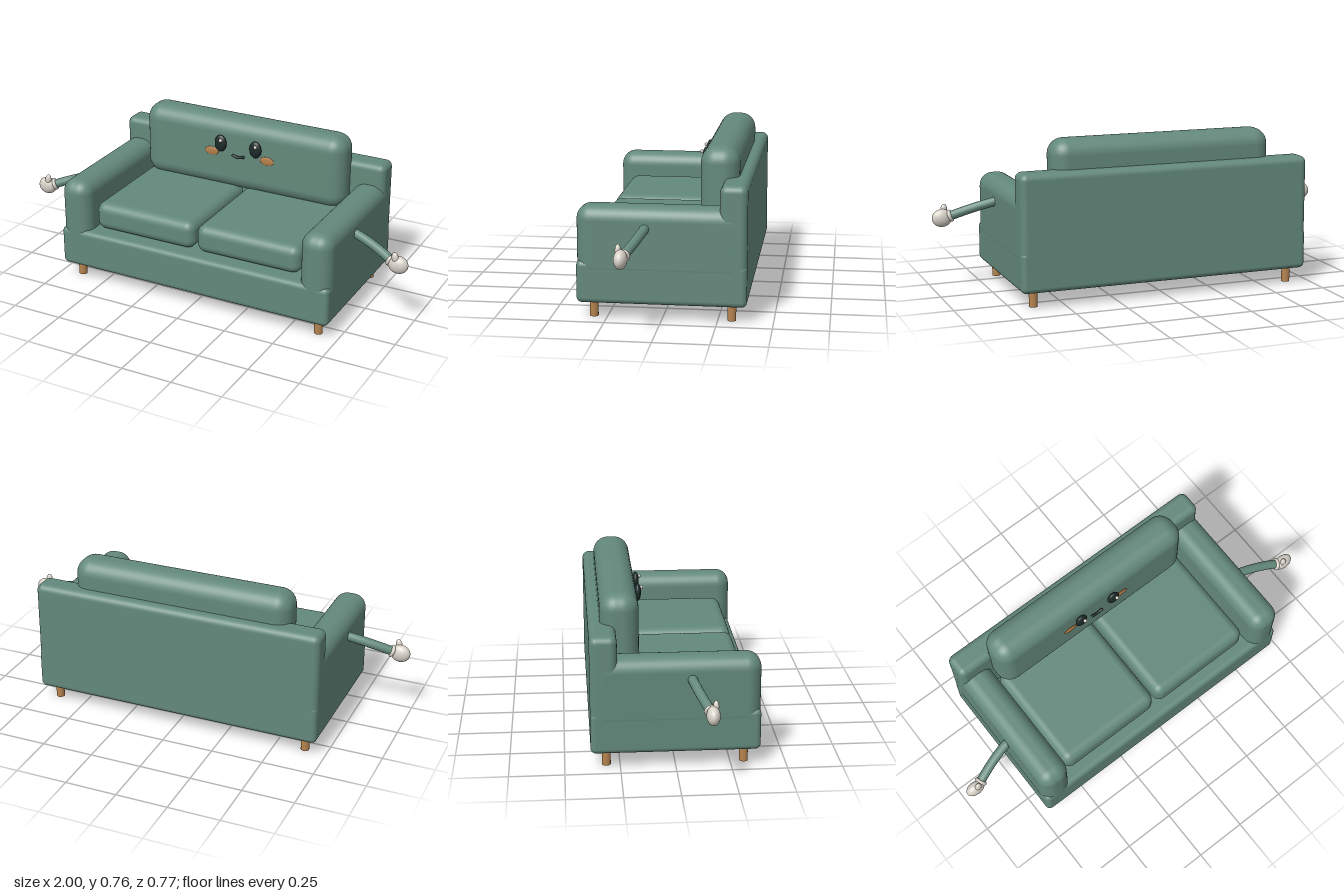
import * as THREE from 'three';
import { RoundedBoxGeometry } from 'three/addons/geometries/RoundedBoxGeometry.js';

const mat = (name, color) => {
  const m = new THREE.MeshStandardMaterial({ color });
  m.name = name;
  return m;
};

export function createModel() {
  const fabric = mat('green fabric', 0x64897c);
  const wood = mat('wood', 0xb5834f);
  const blushTan = mat('blush tan', 0xb5804a);
  const dark = mat('dark eye', 0x1d2a2a);
  const white = mat('glove white', 0xd8d2c8);
  const model = new THREE.Group();
  model.name = 'sofa';

  const add = (name, geometry, material, pos = [0, 0, 0], parent = model) => {
    const mesh = new THREE.Mesh(geometry, material);
    mesh.name = name;
    mesh.position.set(...pos);
    parent.add(mesh);
    return mesh;
  };
  // Rounded box given by its extents on each axis
  const cushion = (name, [x0, x1], [y0, y1], [z0, z1], r) =>
    add(name, new RoundedBoxGeometry(x1 - x0, y1 - y0, z1 - z0, 5, r), fabric,
      [(x0 + x1) / 2, (y0 + y1) / 2, (z0 + z1) / 2]);
  const ellipsoid = (name, material, pos, radii, parent) => {
    const g = new THREE.SphereGeometry(1, 32, 20).scale(...radii);
    return add(name, g, material, pos, parent);
  };

  // Upholstered body
  cushion('base', [-0.714, 0.714], [0.075, 0.27], [-0.383, 0.383], 0.025);
  cushion('backrest', [-0.714, 0.714], [0.076, 0.625], [-0.383, -0.26], 0.032);
  cushion('backCushion', [-0.547, 0.54], [0.39, 0.76], [-0.33, -0.152], 0.075);
  cushion('rightSeatCushion', [-0.55, -0.012], [0.27, 0.41], [-0.24, 0.325], 0.045);
  cushion('leftSeatCushion', [0.002, 0.54], [0.27, 0.41], [-0.24, 0.325], 0.045);
  cushion('rightArmrest', [-0.715, -0.56], [0.18, 0.52], [-0.382, 0.384], 0.065);
  cushion('leftArmrest', [0.56, 0.715], [0.18, 0.52], [-0.382, 0.384], 0.065);

  // Face on the back cushion
  const face = new THREE.Group();
  face.name = 'face';
  face.position.x = -0.006;
  model.add(face);

  for (const s of [-1, 1]) {
    const side = s > 0 ? 'left' : 'right';

    // Legs
    for (const z of [0.312, -0.312])
      add(side + (z > 0 ? 'FrontLeg' : 'BackLeg'),
        new THREE.CylinderGeometry(0.02, 0.02, 0.09, 20), wood, [s * 0.644, 0.045, z]);

    // Eyes with highlights, cheeks
    ellipsoid(side + 'Eye', dark, [s * 0.095, 0.641, -0.136], [0.032, 0.043, 0.016], face);
    ellipsoid(side + 'EyeHighlight', white, [s * 0.095 + 0.008, 0.662, -0.117], [0.009, 0.009, 0.008], face);
    ellipsoid(side + 'Cheek', blushTan, [s * 0.152, 0.586, -0.149], [0.037, 0.022, 0.005], face);

    // Curved arm reaching out of the armrest
    const path = new THREE.QuadraticBezierCurve3(
      new THREE.Vector3(s * 0.69, 0.428, 0.068),
      new THREE.Vector3(s * 0.8, 0.405, 0.085),
      new THREE.Vector3(s * 0.92, 0.355, 0.132));
    add(side + 'Arm', new THREE.TubeGeometry(path, 20, 0.022, 16), fabric);

    // Gloved hand: palm, cuff and thumb
    ellipsoid(side + 'Hand', white, [s * 0.952, 0.348, 0.139], [0.048, 0.043, 0.03]);
    const cuff = add(side + 'Cuff', new THREE.TorusGeometry(0.021, 0.009, 12, 28), white,
      [s * 0.913, 0.358, 0.13]);
    cuff.quaternion.setFromUnitVectors(new THREE.Vector3(0, 0, 1), path.getTangent(1));
    const thumb = ellipsoid(side + 'Thumb', white, [s * 0.94, 0.386, 0.151], [0.016, 0.027, 0.013]);
    thumb.rotation.z = s * 0.15;
  }

  // Smile
  const smile = new THREE.QuadraticBezierCurve3(
    new THREE.Vector3(-0.028, 0.587, -0.139),
    new THREE.Vector3(0, 0.575, -0.139),
    new THREE.Vector3(0.028, 0.587, -0.139));
  add('mouth', new THREE.TubeGeometry(smile, 16, 0.007, 10), dark, [0, 0, 0], face);
  for (const s of [-1, 1])
    ellipsoid('mouthEnd', dark, [s * 0.028, 0.587, -0.139], [0.007, 0.007, 0.007], face);

  return model;
}
